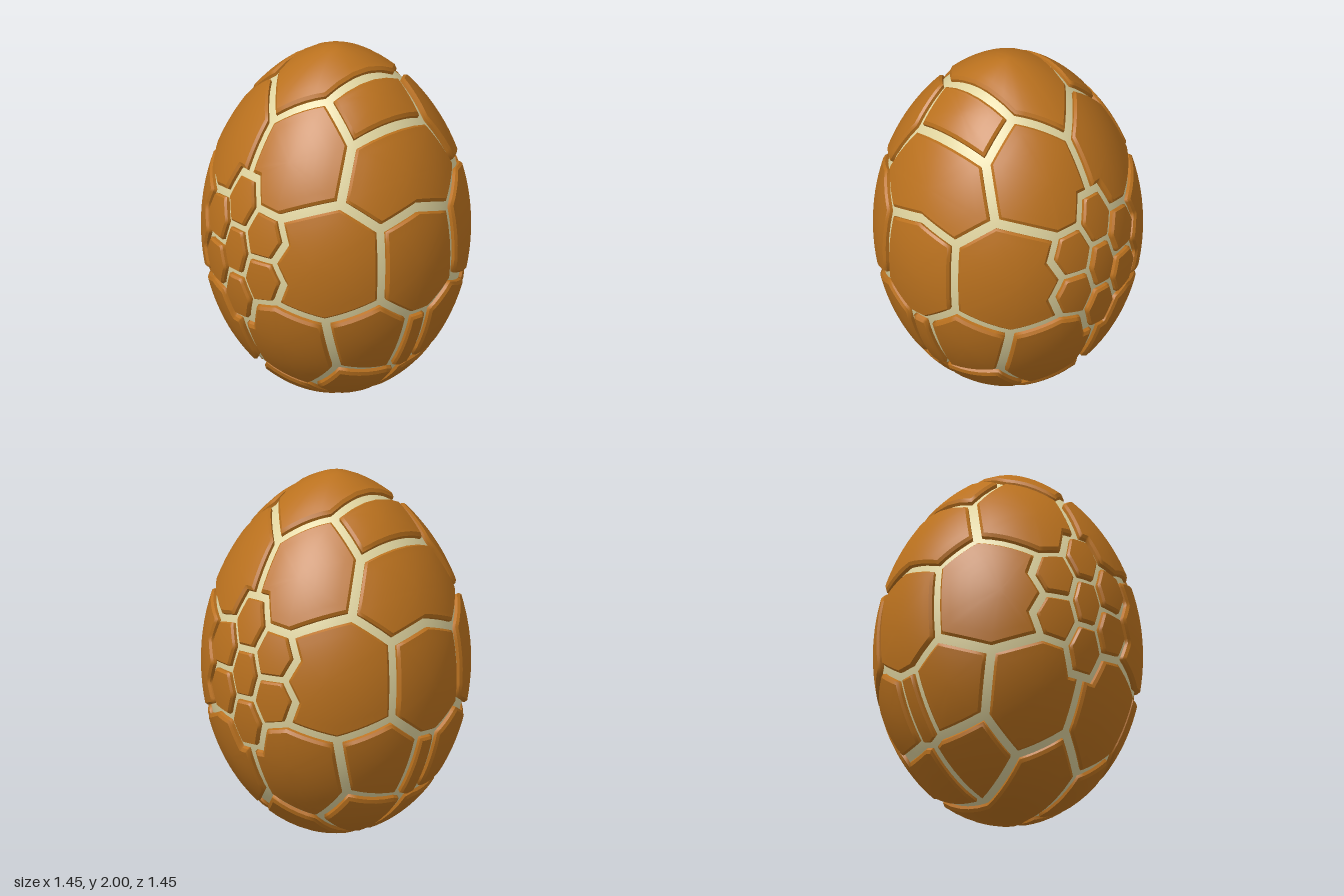
import * as THREE from 'three';

const CENTRE = new THREE.Vector3(0, 0.95, 0);
const TOP = 1.02, BOTTOM = 0.92, WIDE = 0.695;

// Egg profile: radius at a height, narrower above and round below
function radiusAt(y) {
  const d = y - CENTRE.y;
  const u = Math.min(1, Math.abs(d) / (d > 0 ? TOP : BOTTOM));
  return WIDE * Math.pow(1 - u * u, d > 0 ? 0.635 : 0.5);
}

// Push a point along its ray from the centre onto the egg, plus a lift
function onEgg(p, lift = 0) {
  const dir = p.clone().sub(CENTRE).normalize();
  let lo = 0, hi = 1.2;
  for (let i = 0; i < 30; i++) {
    const t = (lo + hi) / 2, y = CENTRE.y + dir.y * t;
    const inside = y < CENTRE.y + TOP && y > CENTRE.y - BOTTOM && Math.hypot(dir.x, dir.z) * t < radiusAt(y);
    if (inside) lo = t; else hi = t;
  }
  return dir.multiplyScalar(lo + lift).add(CENTRE);
}

const V = (x, y, z) => new THREE.Vector3(x, y, z);
const front = (x, y) => V(x, y, Math.sqrt(Math.max(0, radiusAt(y) ** 2 - x * x)));
const side = (z, y) => V(Math.sqrt(Math.max(0, radiusAt(y) ** 2 - z * z)), y, z);
const flip = (p, sx, sz) => V(p.x * sx, p.y, p.z * sz);

// Move every edge of an outline inwards by the same distance
function inset(pts, d) {
  return pts.map((p, i) => {
    const prev = pts[(i + pts.length - 1) % pts.length], next = pts[(i + 1) % pts.length];
    const n = p.clone().sub(CENTRE).normalize();
    const a = n.clone().cross(p.clone().sub(prev)).normalize();
    const b = n.clone().cross(next.clone().sub(p)).normalize();
    const k = d / Math.max(0.4, 1 + a.dot(b));
    return p.clone().add(a.add(b).multiplyScalar(k));
  });
}

function subdivide(pts, n) {
  return pts.flatMap((p, i) =>
    Array.from({ length: n }, (_, k) => p.clone().lerp(pts[(i + 1) % pts.length], k / n)));
}

// Curved plate with a bevelled rim, from an outline lying on the egg
function plateGeometry(outline, gap, bevel) {
  let pts = outline.map(p => onEgg(p));
  const mid = pts.reduce((s, p) => s.add(p), V(0, 0, 0)).divideScalar(pts.length);
  const area = V(0, 0, 0);
  pts.forEach((p, i) => area.add(p.clone().sub(mid).cross(pts[(i + 1) % pts.length].clone().sub(mid))));
  if (area.dot(mid.clone().sub(CENTRE)) < 0) pts = pts.reverse();

  const outer = subdivide(inset(pts, gap), 5), inner = subdivide(inset(pts, gap + bevel), 5);
  const n = inner.length;
  const c = inner.reduce((s, p) => s.add(p), V(0, 0, 0)).divideScalar(n);
  const pos = [], index = [];
  const ring = list => {
    const start = pos.length / 3;
    list.forEach(p => pos.push(p.x, p.y, p.z));
    return start;
  };
  const join = (a, b) => {
    for (let i = 0; i < n; i++) {
      const j = (i + 1) % n;
      index.push(a + i, b + i, b + j, a + i, b + j, a + j);
    }
  };
  // Domed face
  const hub = ring([onEgg(c, 0.03)]);
  let last = -1;
  for (let k = 1; k <= 6; k++) {
    const r = ring(inner.map(p => onEgg(c.clone().lerp(p, k / 6), 0.03)));
    if (last < 0) for (let i = 0; i < n; i++) index.push(hub, r + i, r + (i + 1) % n);
    else join(last, r);
    last = r;
  }
  // Bevel and wall keep their own vertices so the edges stay sharp
  join(ring(inner.map(p => onEgg(p, 0.03))), ring(outer.map(p => onEgg(p, 0.018))));
  join(ring(outer.map(p => onEgg(p, 0.018))), ring(outer.map(p => onEgg(p, -0.015))));

  const g = new THREE.BufferGeometry();
  g.setAttribute('position', new THREE.Float32BufferAttribute(pos, 3));
  g.setIndex(index);
  g.computeVertexNormals();
  return g;
}

export function createModel() {
  const model = new THREE.Group();
  const plateMat = new THREE.MeshStandardMaterial({ color: 0xba711e });
  plateMat.name = 'amber plate';
  const shellMat = new THREE.MeshStandardMaterial({ color: 0xe0d49f });
  shellMat.name = 'cream shell';

  // Inner shell seen in the seams
  const profile = [];
  for (let i = 0; i <= 40; i++) {
    const a = -Math.PI / 2 + Math.PI * i / 40;
    const y = CENTRE.y + Math.sin(a) * (a > 0 ? TOP : BOTTOM);
    profile.push(new THREE.Vector2(i % 40 ? radiusAt(y) : 0, y));
  }
  const shell = new THREE.Mesh(new THREE.LatheGeometry(profile, 64), shellMat);
  shell.name = 'innerShell';
  model.add(shell);

  // Seam junctions of one quarter (+x, +z)
  const A = V(0, 1.69, 0.45), B = V(0.22, 1.835, 0.25), C = V(0.44, 1.65, 0.26);
  const D = V(0.48, 1.335, 0.38), E = side(0.23, 1.2), E0 = side(0, 1.27);
  const G = V(0.47, 0.68, 0.48), L = side(0.24, 0.79), M = side(0.06, 0.665), N = side(0.065, 0.32);
  const I = front(0, 0.32), J = V(0.2, 0.19, 0.34), K = V(0.44, 0.325, 0.37);
  const N0 = side(0, 0.3), Q = V(0.16, 0.05, 0);
  const mx = p => flip(p, -1, 1), mz = p => flip(p, 1, -1), mxz = p => flip(p, -1, -1);

  // Honeycomb corners on the front: upper half, and the same below
  const comb = s => {
    const f = (x, y) => front(x, 1.003 + s * y);
    return {
      edge: f(0, 0.403), tip: f(0.062, 0.403), dip: f(0.115, 0.265), corner: f(0.25, 0.24),
      out: f(0.3, 0.115), in: f(0.06, 0.132)
    };
  };
  const up = comb(1), low = comb(-1), notch = front(0.245, 1.003), hub = front(0.1, 1.003);

  const ALL = [[1, 1], [-1, 1], [1, -1], [-1, -1]], SIDES = [[1, 1], [-1, 1]], ENDS = [[1, 1], [1, -1]], ONE = [[1, 1]];
  const add = (name, copies, outline, gap = 0.025, bevel = 0.014) => copies.forEach(([sx, sz]) => {
    const mesh = new THREE.Mesh(plateGeometry(outline.map(p => flip(p, sx, sz)), gap, bevel), plateMat);
    mesh.name = name;
    model.add(mesh);
  });

  // Crown and base
  add('crownPlate', ONE, [A, B, mz(B), mz(A), mxz(B), mx(B)]);
  add('basePlate', ONE, [I, J, Q, mz(J), mz(I), mxz(J), mx(Q), mx(J)]);

  // Large plates repeated in every quarter
  add('upperPlate', ALL, [A, B, C, D, up.corner, up.dip, up.tip, up.edge]);
  add('middlePlate', ALL, [D, E, L, G, low.corner, low.out, notch, up.out, up.corner]);
  add('lowerPlate', ALL, [low.edge, low.tip, low.dip, low.corner, G, K, J, I]);
  add('lowerSidePlate', ALL, [G, L, M, N, K]);
  add('bottomSidePlate', ALL, [K, N, N0, Q, J]);

  // Plates centred on each side
  add('shoulderPlate', SIDES, [B, C, mz(C), mz(B)]);
  add('upperSidePlate', SIDES, [C, D, E, E0, mz(E), mz(D), mz(C)]);
  add('middleSidePlate', SIDES, [E, L, M, mz(M), mz(L), mz(E), E0]);
  add('narrowSidePlate', SIDES, [M, N, N0, mz(N), mz(M)], 0.016, 0.01);

  // Honeycomb of seven small plates on the front and back
  add('honeycombCentre', ENDS, [hub, up.in, mx(up.in), mx(hub), mx(low.in), low.in], 0.018, 0.01);
  for (const h of [up, low]) {
    add('honeycombEnd', ENDS, [h.in, h.dip, h.tip, mx(h.tip), mx(h.dip), mx(h.in)], 0.018, 0.01);
    add('honeycombSide', ALL, [hub, notch, h.out, h.corner, h.dip, h.in], 0.018, 0.01);
  }
  return model;
}
